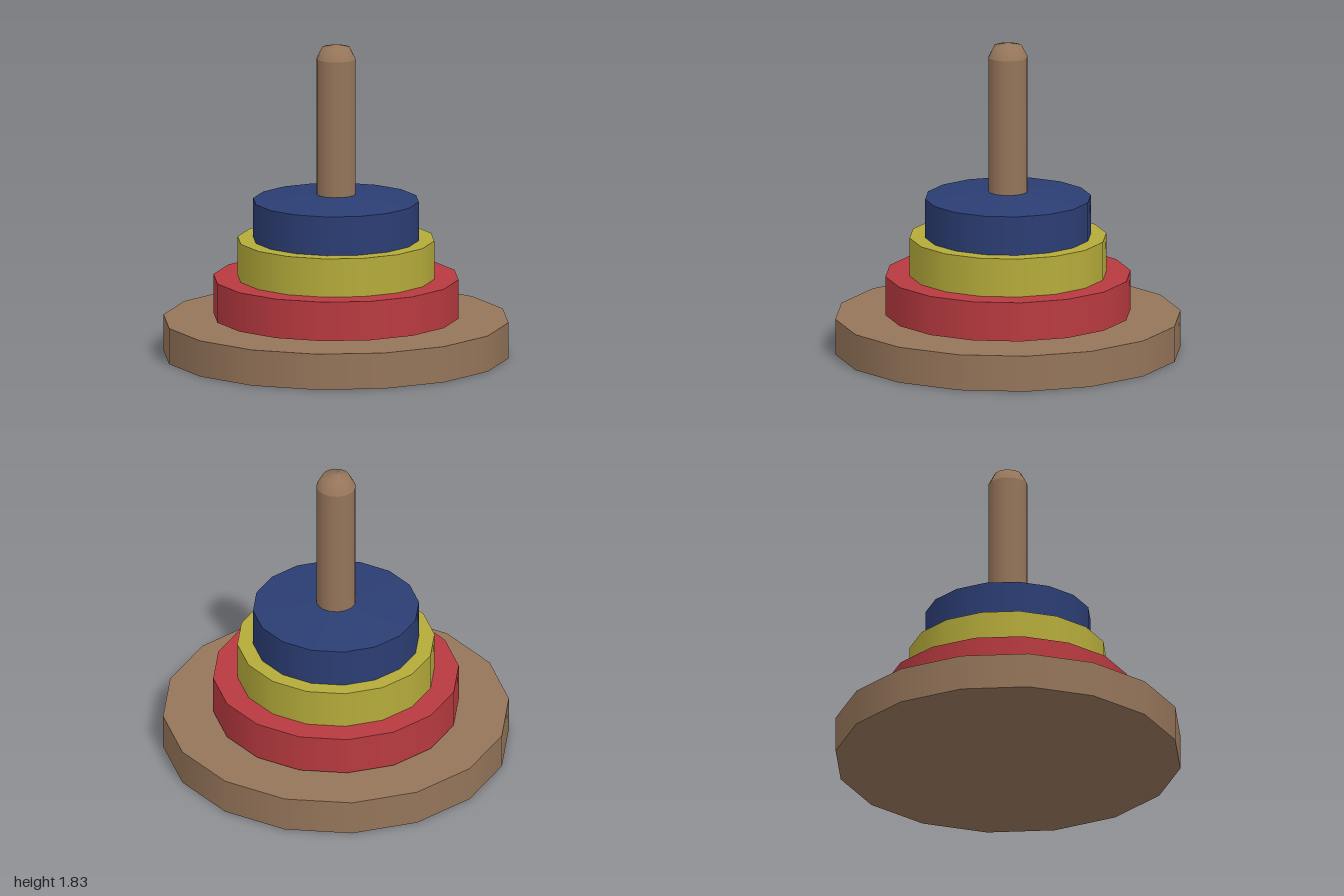
import * as THREE from 'three';

const SIDES = 16;

export function createModel() {
  const model = new THREE.Group();
  model.name = 'stackingRingToy';

  const wood = new THREE.MeshStandardMaterial({ color: 0x95755a });
  const red = new THREE.MeshStandardMaterial({ color: 0xb83a40 });
  const yellow = new THREE.MeshStandardMaterial({ color: 0xb5ab3a });
  const blue = new THREE.MeshStandardMaterial({ color: 0x2b3d73 });

  const add = (name, geometry, material, parent = model) => {
    const mesh = new THREE.Mesh(geometry, material);
    mesh.name = name;
    parent.add(mesh);
    return mesh;
  };

  // Sixteen-sided disc or frustum between two heights
  const disc = (bottomRadius, topRadius, y0, y1, open = false) =>
    new THREE.CylinderGeometry(topRadius, bottomRadius, y1 - y0, SIDES, 1, open)
      .translate(0, (y0 + y1) / 2, 0);

  // Base plate and the two lower rings
  add('base', disc(1, 1, 0, 0.21), wood);
  add('lowerRing', disc(0.71, 0.71, 0.226, 0.455), red);
  add('middleRing', disc(0.57, 0.57, 0.455, 0.68), yellow);

  // Upper ring with a gently sloping top
  const upperRing = new THREE.Group();
  upperRing.name = 'upperRing';
  model.add(upperRing);
  add('upperRingBody', disc(0.48, 0.48, 0.68, 0.908), blue, upperRing);
  add('upperRingSlope', disc(0.48, 0.11, 0.908, 0.945, true), blue, upperRing);

  // Centre peg with a rounded tip
  add('peg', disc(0.114, 0.114, 0.2, 1.74, true), wood);
  const tip = [[0.114, 1.74], [0.08, 1.806], [0, 1.825]];
  add('pegTip', new THREE.LatheGeometry(
    tip.map(([r, y]) => new THREE.Vector2(r, y)), SIDES), wood);

  return model;
}
